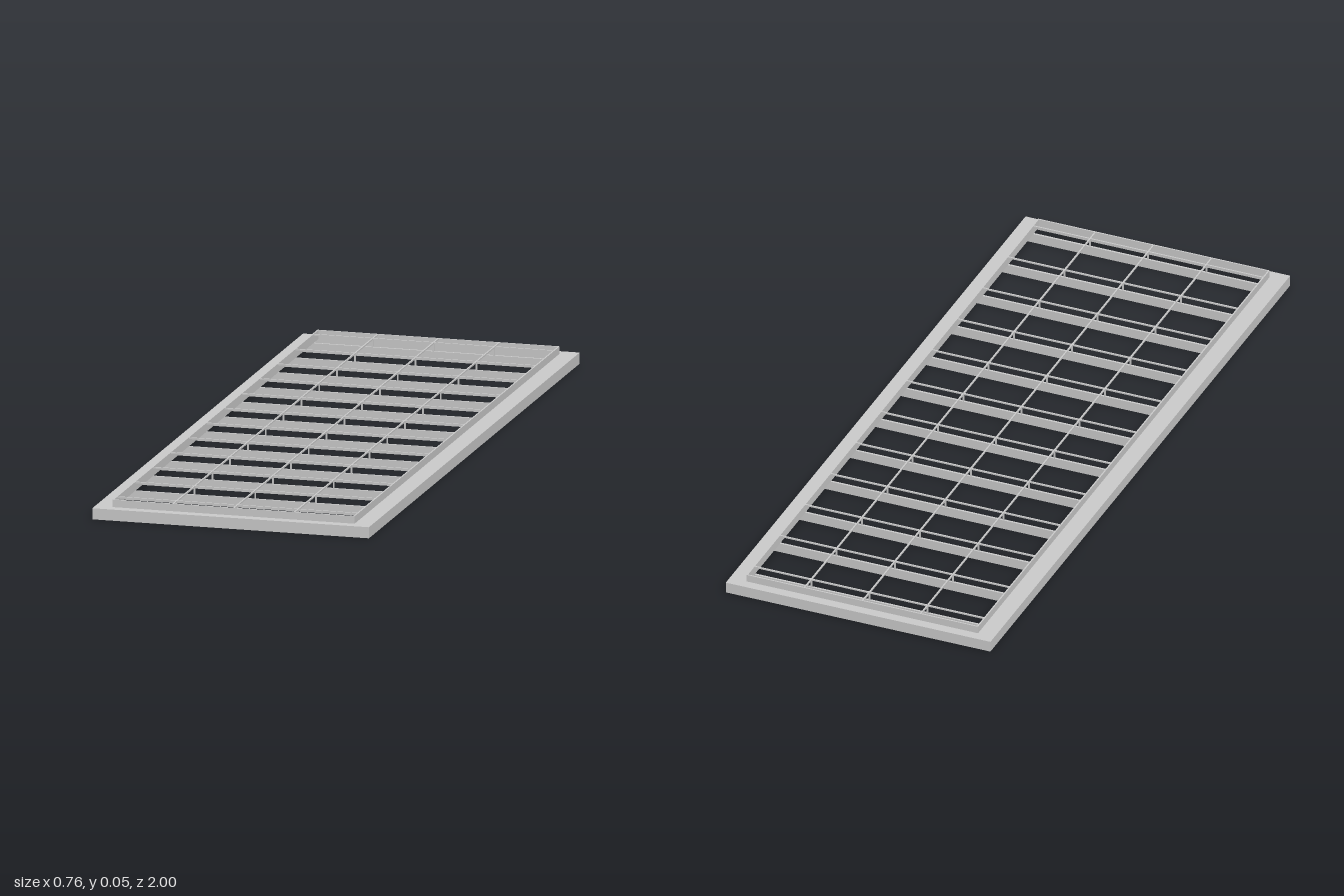
import * as THREE from 'three';

const HX = 0.378, HZ = 1;        // outer half sizes
const IX = 0.331, IZ = 0.973;    // opening half sizes
const STEP = 0.03, TOP = 0.05;   // flange height and collar height
const SHEET = 0.004, WIRE = 0.004;

export function createModel() {
  const group = new THREE.Group();
  const material = new THREE.MeshStandardMaterial({ color: 0xcccccc, side: THREE.DoubleSide });

  const add = (name, geometry, x, y, z) => {
    const mesh = new THREE.Mesh(geometry, material);
    mesh.name = name;
    mesh.position.set(x, y, z);
    group.add(mesh);
  };
  const box = (name, w, h, d, x, y, z) => add(name, new THREE.BoxGeometry(w, h, d), x, y, z);

  // Rectangular ring with a rectangular opening, rising from y0 to y1
  const ring = (name, ox, oz, ix, iz, y0, y1) => {
    const corners = (x, z) => [[-x, -z], [x, -z], [x, z], [-x, z]].map(p => new THREE.Vector2(...p));
    const shape = new THREE.Shape(corners(ox, oz));
    shape.holes.push(new THREE.Path(corners(ix, iz).reverse()));
    const geometry = new THREE.ExtrudeGeometry(shape, { depth: y1 - y0, bevelEnabled: false });
    geometry.rotateX(-Math.PI / 2);
    add(name, geometry, 0, y0, 0);
  };

  // Stepped frame, open underneath: skirt, flange and raised collar
  ring('outerSkirt', HX, HZ, HX - SHEET, HZ - SHEET, 0, STEP - SHEET);
  ring('flange', HX, HZ, IX - SHEET, IZ - SHEET, STEP - SHEET, STEP);
  ring('collar', IX, IZ, IX - SHEET, IZ - SHEET, STEP, TOP);

  // Long wires level with the collar
  const wireXs = [-0.166, 0, 0.166];
  for (const x of wireXs) box('longWire', WIRE, WIRE, 2 * IZ - SHEET, x, TOP - WIRE / 2, 0);

  // Cross bars under the flange, each with a wire above held by short posts
  for (let i = 0; i < 12; i++) {
    const z = -0.924 + i * 0.169;
    const barHeight = STEP - SHEET;
    box('crossBar', 2 * (HX - SHEET), barHeight, 0.006, 0, barHeight / 2, z);
    box('crossWire', 2 * IX - SHEET, WIRE, WIRE, 0, TOP - WIRE / 2, z);
    for (const x of wireXs) {
      box('post', WIRE, TOP - WIRE - barHeight, WIRE, x, (TOP - WIRE + barHeight) / 2, z);
    }
  }
  return group;
}
